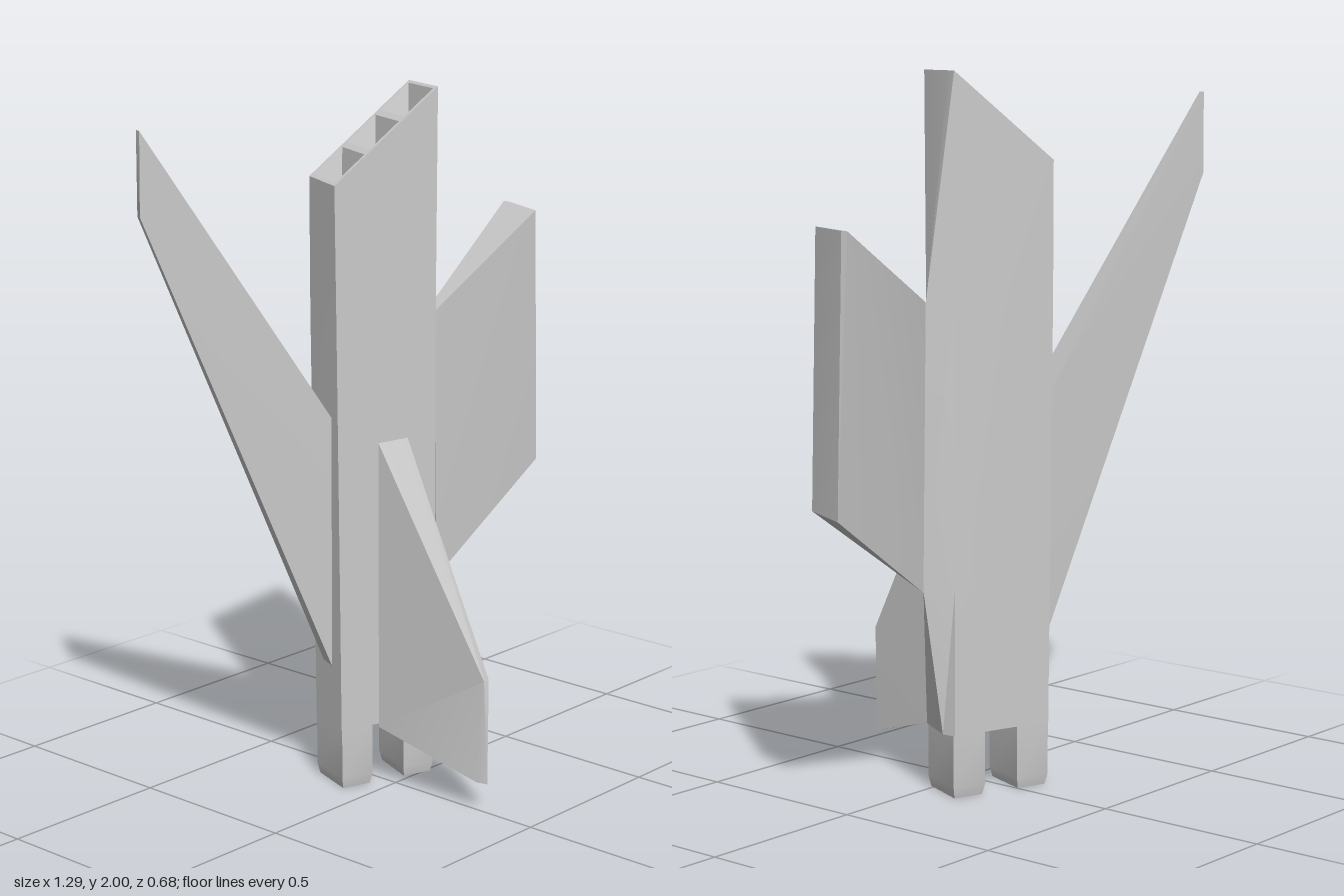
import * as THREE from 'three';
import { toCreasedNormals } from 'three/addons/utils/BufferGeometryUtils.js';
import { ConvexGeometry } from 'three/addons/geometries/ConvexGeometry.js';

const material = new THREE.MeshStandardMaterial({ color: 0xcccccc });
const V = (x, y, z) => new THREE.Vector3(x, y, z);

function part(name, geometry, crease = 0.5) {
  const mesh = new THREE.Mesh(toCreasedNormals(geometry, crease), material);
  mesh.name = name;
  return mesh;
}

// Skin through rings of points that run anticlockwise seen from above
function loft(rings, capStart, capEnd) {
  const n = rings[0].length;
  const index = [];
  for (let r = 0; r < rings.length - 1; r++) {
    for (let i = 0; i < n; i++) {
      const a = r * n + i, b = r * n + (i + 1) % n;
      index.push(a, b, b + n, a, b + n, a + n);
    }
  }
  const last = (rings.length - 1) * n;
  for (let i = 1; i < n - 1; i++) {
    if (capStart) index.push(0, i + 1, i);
    if (capEnd) index.push(last, last + i, last + i + 1);
  }
  const geometry = new THREE.BufferGeometry().setFromPoints(rings.flat());
  geometry.setIndex(index);
  return geometry.toNonIndexed();
}

const hull = (points) => new ConvexGeometry(points.map((p) => V(...p)));

// Point on a four-cornered patch: s runs left to right, t front to back
function onPatch([fl, fr, br, bl], s, t) {
  return fl.clone().lerp(fr, s).lerp(bl.clone().lerp(br, s), t);
}

function patchRing(patch, s0, s1, t0, t1, drop = 0) {
  return [[s0, t0], [s1, t0], [s1, t1], [s0, t1]].map(([s, t]) => {
    const p = onPatch(patch, s, t);
    p.y -= drop;
    return p;
  });
}

export function createModel() {
  const group = new THREE.Group();

  // Slanted top edge and level bottom of the body
  const top = [V(-0.16, 1.75, -0.08), V(0.14, 2, 0.03), V(0.19, 2, -0.12), V(-0.105, 1.755, -0.225)];
  const foot = [V(-0.14, 0, -0.08), V(0.14, 0, 0.02), V(0.2, 0, -0.125), V(-0.09, 0, -0.225)];

  // Body: oblong section turned about y, with a ridge along its left side
  const section = (y, left, ridgeX, ridgeZ) => [
    V(left, y, -0.08), V(0.14, y, 0.025), V(ridgeX, y, ridgeZ), V(0.2, y, -0.13), V(left + 0.05, y, -0.225),
  ];
  const topRing = [top[0], top[1], V(0.18, 2, -0.09), top[2], top[3]];
  group.add(part('body', loft([
    section(0.18, -0.142, 0.205, -0.09),
    section(0.59, -0.146, 0.262, -0.07),
    section(1.38, -0.155, 0.25, -0.07),
    topRing,
  ], true, false)));

  // Three recessed cells in the slanted end
  for (let i = 0; i < 3; i++) {
    const s0 = i / 3, s1 = (i + 1) / 3;
    group.add(part('endCell', loft([
      patchRing(top, s0, s1, 0, 1),
      patchRing(top, s0 + 0.025, s1 - 0.025, 0.08, 0.92),
      patchRing(top, s0 + 0.06, s1 - 0.06, 0.2, 0.8, 0.08),
    ], false, true), 0.3));
  }

  // Two prongs below the body with a gap between
  for (const [name, s0, s1] of [['rightProng', 0, 0.33], ['leftProng', 0.67, 1]]) {
    group.add(part(name, loft([
      patchRing(foot, s0 + 0.02, s1 - 0.02, 0.04, 0.96),
      patchRing(foot, s0, s1, 0, 1, -0.03),
      patchRing(foot, s0, s1, 0, 1, -0.19),
    ], true, false)));
  }

  // Left wing: a wedge that thickens towards its tip
  group.add(part('leftWing', hull([
    [0.15, 1.33, -0.03], [0.255, 1.385, -0.07],
    [0.15, 0.53, -0.03], [0.265, 0.59, -0.065],
    [0.575, 1.6, 0.028], [0.635, 1.6, -0.14], [0.64, 1.6, -0.125],
    [0.61, 0.85, 0.015], [0.645, 0.84, -0.11],
  ])));

  // Right wing: swept and tapering to a thin tip
  group.add(part('rightWing', hull([
    [-0.1, 1.03, -0.1], [-0.07, 1.03, -0.19],
    [-0.1, 0.29, -0.12], [-0.08, 0.29, -0.17],
    [-0.65, 1.93, -0.32], [-0.643, 1.93, -0.34],
    [-0.65, 1.7, -0.325], [-0.645, 1.7, -0.34],
  ])));

  // Front fin: wide at the root, narrow at the tip
  group.add(part('frontFin', hull([
    [-0.05, 1.02, -0.02], [0.05, 1.02, 0],
    [-0.05, 0.18, -0.02], [0.055, 0.18, 0],
    [-0.008, 0.39, 0.335], [0.012, 0.39, 0.335],
    [-0.008, 0.085, 0.31], [0.01, 0.08, 0.335],
  ])));

  return group;
}
